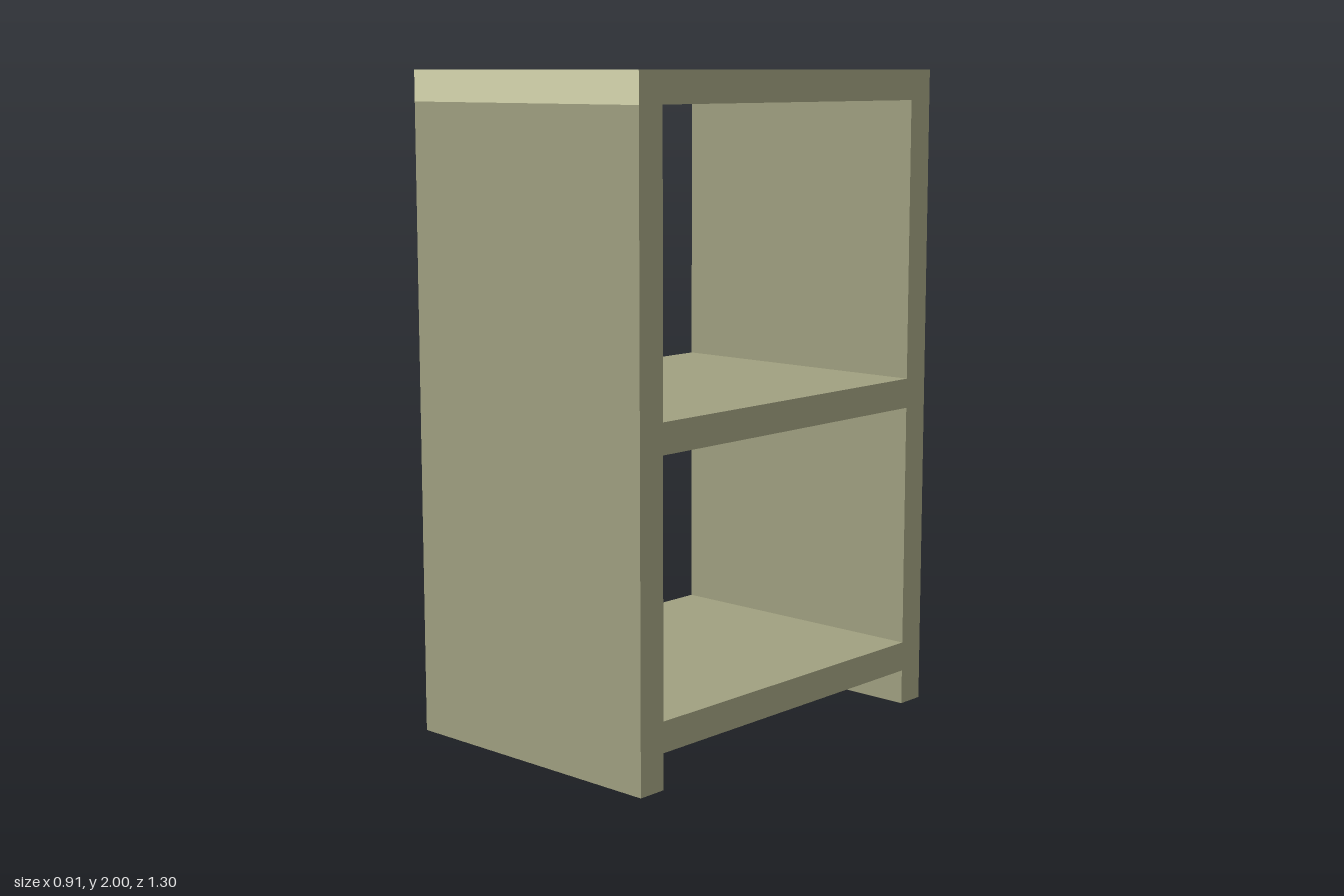
import * as THREE from 'three';

const WIDTH = 0.906, DEPTH = 1.298, HEIGHT = 2, BOARD = 0.092;

export function createModel() {
  const group = new THREE.Group();
  group.name = 'shelfUnit';

  const olive = new THREE.MeshStandardMaterial({ color: 0xa0a080 });
  olive.name = 'olive board';
  const pale = new THREE.MeshStandardMaterial({ color: 0xd8d8b0 });
  pale.name = 'pale edge';

  const board = (name, w, h, d, y, z, material = olive) => {
    const mesh = new THREE.Mesh(new THREE.BoxGeometry(w, h, d), material);
    mesh.name = name;
    mesh.position.set(0, y, z);
    group.add(mesh);
  };

  // Upright panels at front and back, reaching up to the top board
  const panelHeight = HEIGHT - BOARD;
  for (const [name, side] of [['frontPanel', 1], ['backPanel', -1]]) {
    board(name, WIDTH, panelHeight, BOARD, panelHeight / 2, side * (DEPTH - BOARD) / 2);
  }

  // Top board with pale front and back edges
  board('topBoard', WIDTH, BOARD, DEPTH, HEIGHT - BOARD / 2, 0,
    [olive, olive, olive, olive, pale, pale]);

  // Shelves between the panels
  const inner = DEPTH - 2 * BOARD;
  board('middleShelf', WIDTH, BOARD, inner, 1.002, 0);
  board('bottomShelf', WIDTH, BOARD, inner, 0.154, 0);

  return group;
}
